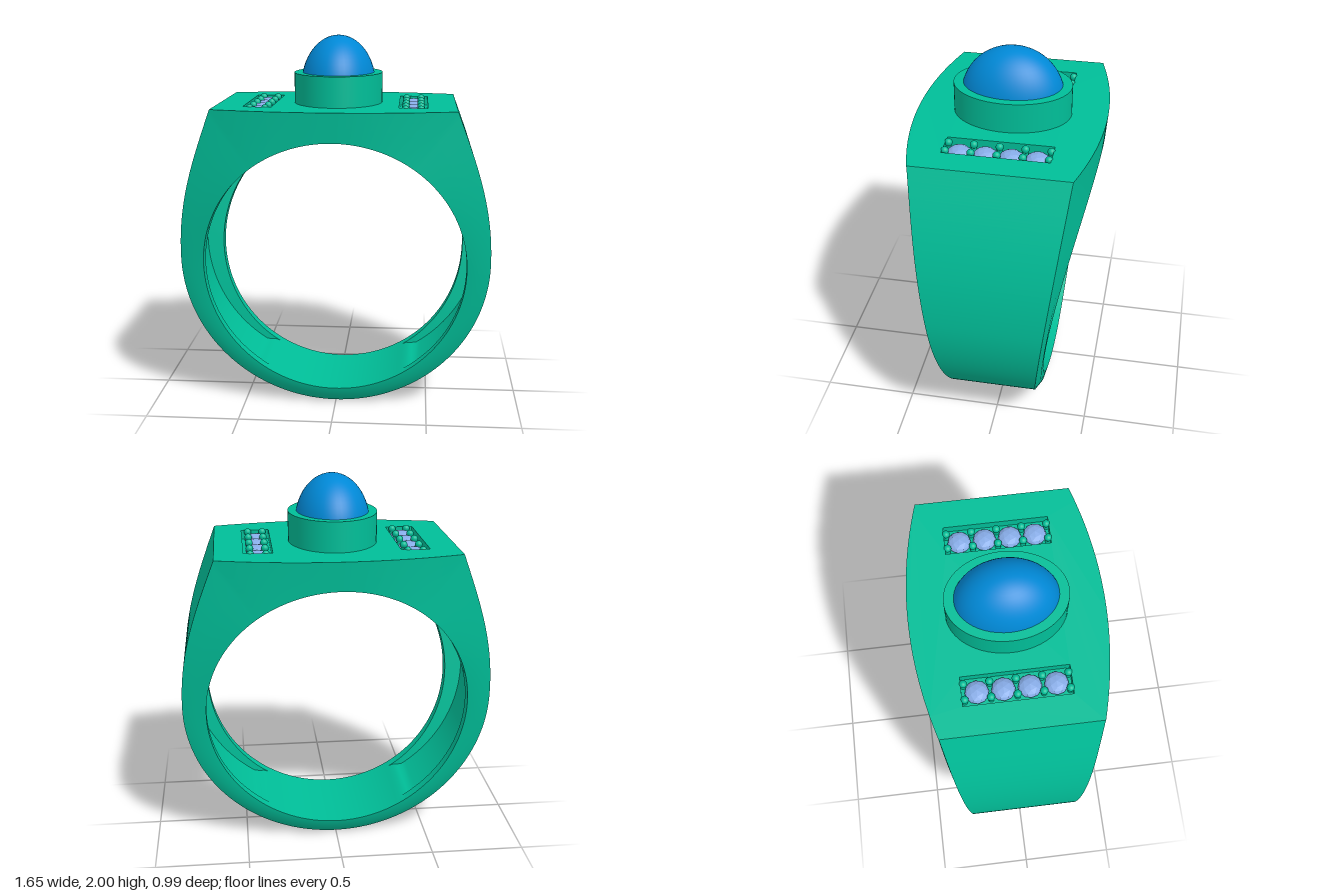
import * as THREE from 'three';
import { toCreasedNormals } from 'three/addons/utils/BufferGeometryUtils.js';

const TOP = 1.645, CY = 0.79, HOLE = 0.7, CORNER = 0.63;
const CEILING = 1.58, LEDGE = 0.2; // upper and lower ends of the inner hollow
const metal = new THREE.MeshStandardMaterial({ color: 0x00be98 });
const metalOpen = new THREE.MeshStandardMaterial({ color: 0x00be98, side: THREE.DoubleSide });
const blue = new THREE.MeshStandardMaterial({ color: 0x0088d6 });
const pale = new THREE.MeshStandardMaterial({ color: 0x86abe6, flatShading: true });

function add(parent, name, geo, mat, x = 0, y = 0, z = 0) {
  const m = new THREE.Mesh(geo, mat);
  m.name = name;
  m.position.set(x, y, z);
  parent.add(m);
  return m;
}

// Half depth of the flat top along x
const topDepth = x => 0.493 - 0.232 * x * x;

// Outer outline, counter-clockwise from the right side
function outline() {
  const side = new THREE.CubicBezierCurve(
    new THREE.Vector2(0.825, 0.825), new THREE.Vector2(0.825, 1.15),
    new THREE.Vector2(0.73, 1.38), new THREE.Vector2(CORNER, TOP)).getPoints(48);
  const pts = side.map(p => ({ x: p.x, y: p.y }));
  for (let i = 1; i < 32; i++) pts.push({ x: CORNER * (1 - i / 16), y: TOP });
  side.reverse().forEach(p => pts.push({ x: -p.x, y: p.y }));
  for (let i = 1; i < 96; i++) {
    const a = Math.PI * (1 + i / 96);
    pts.push({ x: 0.825 * Math.cos(a), y: 0.825 + 0.825 * Math.sin(a) });
  }
  return pts;
}

// Cross-section of the band at an outline point: half loop, then its mirror
function section(p) {
  const a = Math.atan2(p.y - CY, p.x), c = Math.cos(a), s = Math.sin(a);
  const R = Math.hypot(p.x, p.y - CY);
  const onTop = p.y > TOP - 1e-4;
  const wOuter = onTop ? topDepth(p.x) : 0.2 + 0.1216 * p.y;
  const yIn = CY + HOLE * s;
  const wInner = 0.256 + 0.101 * yIn * yIn;
  // Hollow: thin side wall, flat ceiling, flat ledge at the lower end
  const wall = s > 0 ? 0.03 : 0.03 + 0.05 * s * s;
  const limit = s > 0 ? (CEILING - CY) / s : (CY - LEDGE) / Math.max(-s, 1e-6);
  const rHollow = Math.max(HOLE, Math.min(R - wall, limit));
  const wHollow = 0.18 + 0.1 * (CY + rHollow * s);
  const bulge = 0.014 * (1 - p.y / TOP);
  const half = [
    [R, wOuter], [(R + HOLE) / 2, (wOuter + wInner) / 2 + bulge],
    [HOLE, wInner], [HOLE, wHollow], [rHollow, wHollow]];
  const loop = [...half, ...half.map(([r, w]) => [r, -w]).reverse()];
  return loop.map(([r, w]) => [r * c, CY + r * s, w]);
}

// Hollowed band, left open at the flat top
function bandGeometry() {
  const pts = outline(), secs = pts.map(section), pos = [];
  const n = pts.length;
  for (let i = 0; i < n; i++) {
    const k = (i + 1) % n, A = secs[i], B = secs[k];
    const flat = pts[i].y > TOP - 1e-4 && pts[k].y > TOP - 1e-4;
    for (let j = 0; j < 10; j++) {
      if (flat && j === 9) continue;
      const l = (j + 1) % 10;
      pos.push(...A[j], ...B[j], ...B[l], ...A[j], ...B[l], ...A[l]);
    }
  }
  const g = new THREE.BufferGeometry();
  g.setAttribute('position', new THREE.Float32BufferAttribute(pos, 3));
  return toCreasedNormals(g, 0.6);
}

// Flat top with two slots for the stone rows
function topGeometry() {
  const shape = new THREE.Shape();
  const edge = [];
  for (let i = 0; i <= 32; i++) edge.push(CORNER * (i / 16 - 1));
  shape.setFromPoints([
    ...edge.map(x => new THREE.Vector2(x, -topDepth(x))),
    ...edge.reverse().map(x => new THREE.Vector2(x, topDepth(x)))]);
  for (const s of [-1, 1]) {
    const a = s * 0.405 - 0.075, b = s * 0.405 + 0.075;
    shape.holes.push(new THREE.Path([[a, -0.27], [a, 0.27], [b, 0.27], [b, -0.27]]
      .map(q => new THREE.Vector2(...q))));
  }
  return new THREE.ShapeGeometry(shape).rotateX(-Math.PI / 2);
}

// Open tray: a box without its top, turned inside out
function trayGeometry(w, h, d) {
  const g = new THREE.BoxGeometry(w, h, d);
  const idx = Array.from(g.index.array);
  idx.splice(12, 6);
  g.setIndex(idx.reverse());
  const flat = g.toNonIndexed();
  flat.computeVertexNormals();
  return flat;
}

export function createModel() {
  const ring = new THREE.Group();
  ring.name = 'ring';
  add(ring, 'band', bandGeometry(), metal);
  add(ring, 'topPlate', topGeometry(), metal, 0, TOP, 0);

  // Oval setting and domed centre stone
  add(ring, 'bezel', new THREE.CylinderGeometry(1, 1, 0.17, 64), metal, 0, 1.72, 0)
    .scale.set(0.236, 1, 0.307);
  add(ring, 'centreStone', new THREE.SphereGeometry(1, 48, 32), blue, 0, 1.735, 0)
    .scale.set(0.199, 0.265, 0.267);

  // Stone rows with bead prongs
  const gem = new THREE.IcosahedronGeometry(0.06, 1).scale(1, 0.57, 1);
  const bead = new THREE.SphereGeometry(0.02, 16, 12);
  const stem = new THREE.CylinderGeometry(0.015, 0.015, 0.045, 10);
  const tray = trayGeometry(0.15, 0.05, 0.54);
  for (const s of [-1, 1]) {
    const row = new THREE.Group();
    row.name = s > 0 ? 'leftStoneRow' : 'rightStoneRow';
    row.position.set(s * 0.405, 0, 0);
    ring.add(row);
    add(row, 'channel', tray, metalOpen, 0, TOP - 0.025, 0);
    for (let i = 0; i < 4; i++) add(row, 'smallStone', gem, pale, 0, 1.609, -0.195 + 0.13 * i);
    for (let i = 0; i < 5; i++) for (const x of [-0.04, 0.04]) {
      const z = -0.258 + 0.129 * i;
      add(row, 'prongBead', bead, metal, x, 1.637, z);
      add(row, 'prongStem', stem, metal, x, 1.6175, z);
    }
  }
  return ring;
}
